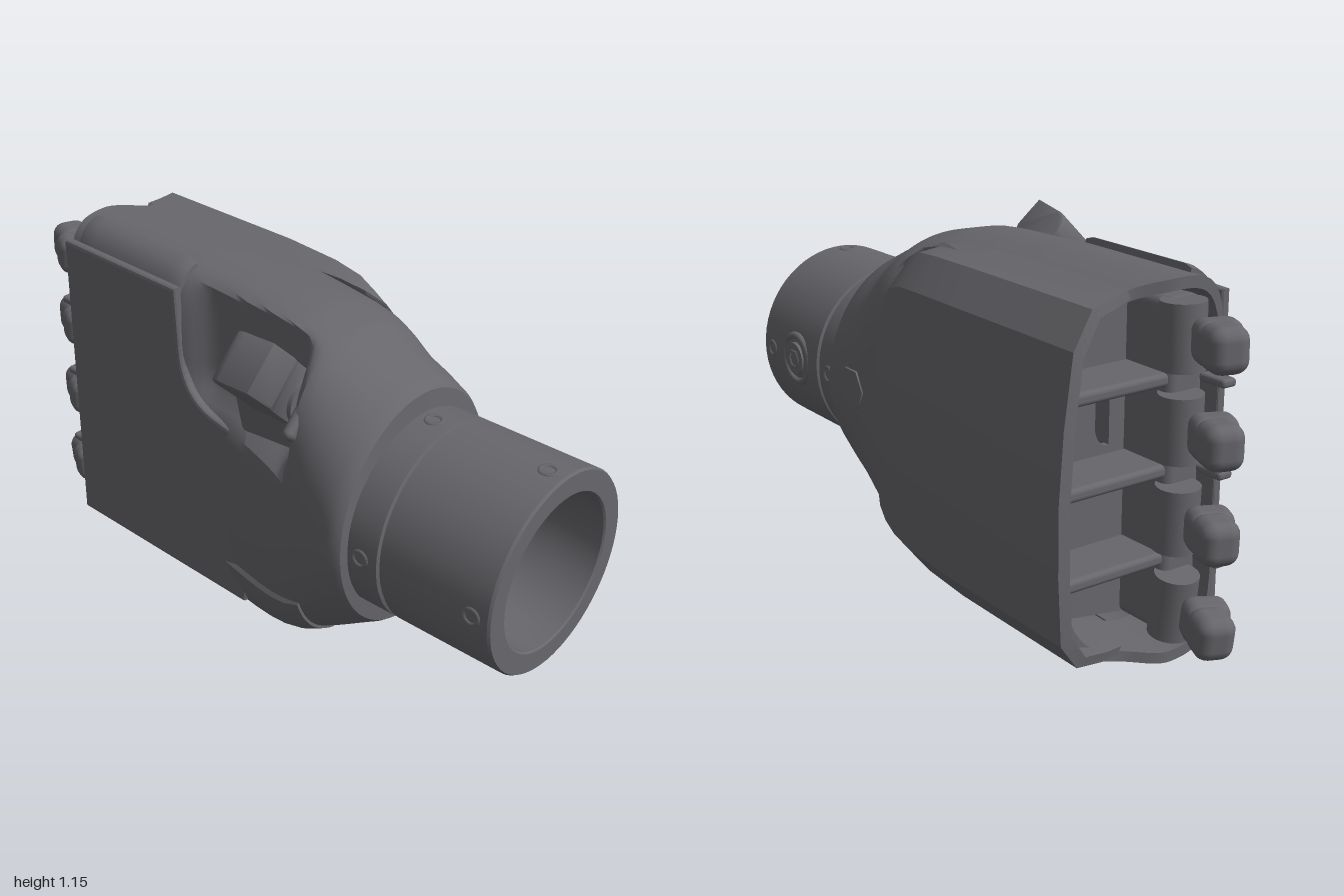
import * as THREE from 'three';
import { toCreasedNormals } from 'three/addons/utils/BufferGeometryUtils.js';
import { RoundedBoxGeometry } from 'three/addons/geometries/RoundedBoxGeometry.js';

const CY = 0.575;
const step = THREE.MathUtils.smoothstep;
const lerp = THREE.MathUtils.lerp;

// Skin a list of equal-length cross-sections that run from +z to -z
function loft(rings, crease = 0.6) {
  const pos = [], idx = [], n = rings[0].length;
  rings.forEach(r => r.forEach(p => pos.push(...p)));
  for (let i = 0; i < rings.length - 1; i++) {
    for (let j = 0; j < n - 1; j++) {
      const a = i * n + j, b = a + 1, c = a + n, d = c + 1;
      idx.push(a, c, b, b, c, d);
    }
  }
  const g = new THREE.BufferGeometry();
  g.setAttribute('position', new THREE.Float32BufferAttribute(pos, 3));
  g.setIndex(idx);
  return toCreasedNormals(g, crease);
}

// Hand stations: z, xMin, xMax, yMin, yMax, squareness
const stations = [
  [0.515, -0.32, 0.3, 0.27, 0.89, 2], [0.51, -0.345, 0.32, 0.21, 0.955, 2],
  [0.495, -0.355, 0.33, 0.198, 0.97, 2], [0.46, -0.357, 0.332, 0.18, 0.985, 2.1],
  [0.36, -0.338, 0.335, 0.12, 1.035, 2.5], [0.28, -0.315, 0.335, 0.08, 1.075, 3],
  [0.15, -0.272, 0.34, 0.045, 1.105, 4], [0.05, -0.243, 0.345, 0.035, 1.115, 4.5],
  [-0.1, -0.206, 0.355, 0.028, 1.125, 5], [-0.3, -0.195, 0.36, 0.02, 1.133, 5.5],
  [-0.79, -0.165, 0.36, 0.02, 1.137, 6],
];

// Hand section at a given z, interpolated between the stations
function sectionAt(z) {
  const i = Math.max(1, stations.findIndex(s => s[0] <= z));
  const a = stations[i - 1], b = stations[i];
  return a.map((v, q) => lerp(v, b[q], (a[0] - z) / (a[0] - b[0])));
}

// Points of a section between two angles; grow pushes them off the surface
function handRing([z, x0, x1, y0, y1, n], { grow = 1, zOut = z, from = 0, to = 360, count = 112 } = {}) {
  const cx = (x0 + x1) / 2, cy = (y0 + y1) / 2, ring = [];
  for (let i = 0; i <= count; i++) {
    const a = THREE.MathUtils.degToRad(lerp(from, to, i / count)), c = Math.cos(a), s = Math.sin(a);
    const e = c > 0 ? Math.min(n, 3.5) : n;
    const r = grow / Math.pow(Math.abs(c) ** e + Math.abs(s) ** e, 1 / e);
    let x = cx + c * r * (x1 - x0) / 2, y = cy + s * r * (y1 - y0) / 2;
    y = cy + (y - cy) * (1 - 0.09 * step(n, 2, 2.6) * step(x, -0.02, 0.3));
    // thumb recess on the palm side
    const w = step(y, 0.68, 0.8) * step(z, -0.28, -0.16) * (1 - step(z, 0.19, 0.28));
    x = lerp(x, Math.max(x, -0.13), w);
    // the open back edge is set in under the cover
    ring.push([x, y, zOut + 0.05 * step(-z, 0.68, 0.79) * step(x, 0, 0.15)]);
  }
  return ring;
}

// Thin raised strip that follows the hand between two angles
function handStrip(z0, z1, from, to, lift) {
  const rings = [], steps = 16;
  for (let i = 0; i <= steps; i++) {
    const s = sectionAt(lerp(z0, z1, i / steps));
    const ring = grow => handRing(s, { grow, from, to, count: 10 });
    const low = ring(0.99), high = ring(i === 0 || i === steps ? 1 + lift * 0.6 : 1 + lift);
    const full = [low[0], ...high, low[10]];
    if (i === 0) rings.push([low[0], ...low, low[10]]);
    rings.push(full);
    if (i === steps) rings.push([low[0], ...low, low[10]]);
  }
  return loft(rings, 0.5);
}

export function createModel() {
  const root = new THREE.Group();
  const grey = new THREE.MeshStandardMaterial({ color: 0x67666b, side: THREE.DoubleSide });
  grey.name = 'dark grey';
  const add = (name, geo, p = [0, 0, 0], r = [0, 0, 0], parent = root) => {
    const m = new THREE.Mesh(geo, grey);
    m.name = name;
    m.position.set(...p);
    m.rotation.set(...r);
    parent.add(m);
  };
  const block = (name, size, p, r, radius = 0.015, parent = root) =>
    add(name, new RoundedBoxGeometry(...size, 3, radius), p, r, parent);

  // Hand shell, turned in at the open back
  const rings = stations.slice(0, 3).map(s => handRing(s));
  for (let i = 1; i <= 48; i++) rings.push(handRing(sectionAt(lerp(0.495, -0.79, i / 48))));
  const last = stations[stations.length - 1];
  rings.push(handRing(last, { grow: 0.94 }), handRing(last, { grow: 0.91, zOut: -0.58 }));
  add('handShell', loft(rings));

  // Back-of-hand cover with bevelled edges
  const coverProfile = [[0.15, 0.07], [0.22, 0.08], [0.335, 0.11], [0.405, 0.2], [0.42, 0.4],
    [0.422, 0.6], [0.405, 0.8], [0.37, 1.0], [0.295, 1.095], [0.22, 1.104], [0.15, 1.116]];
  const coverRing = ([z, ys, dx, inner, grow = 1]) => coverProfile.map(([x, y]) =>
    [Math.max(inner, x + dx) * grow, CY + (y - CY) * ys, z + (z < -0.7 ? 0.27 * (0.42 - x) : 0)]);
  add('backCover', loft([
    [0.225, 0.62, -0.11, 0.28], [0.215, 0.72, -0.08, 0.27], [0.18, 0.84, -0.06, 0.24],
    [0.13, 0.92, -0.048, 0.2], [0.06, 0.97, -0.035, 0.17], [-0.05, 0.99, -0.02, 0.15],
    [-0.25, 1, -0.008, 0.15], [-0.82, 1, 0, 0.15], [-0.82, 0.95, 0, 0.13, 0.91], [-0.7, 0.94, 0, 0.13, 0.88],
  ].map(coverRing), 0.3));

  // Palm cover, cut away around the thumb
  const palm = new THREE.Shape();
  palm.moveTo(-0.78, 0.08);
  palm.lineTo(-0.78, 1.07);
  palm.lineTo(-0.28, 1.08);
  palm.lineTo(-0.27, 0.9);
  palm.quadraticCurveTo(-0.26, 0.72, -0.1, 0.7);
  palm.lineTo(0.04, 0.68);
  palm.quadraticCurveTo(0.06, 0.4, 0, 0.1);
  palm.closePath();
  add('palmCover', new THREE.ExtrudeGeometry(palm, {
    depth: 0.015, bevelThickness: 0.008, bevelSize: 0.012, bevelSegments: 2, curveSegments: 10,
  }), [-0.195, 0, 0], [0, -Math.PI / 2 - 0.053, 0]);

  // Edge strips above and below the palm
  add('upperEdgeStrip', handStrip(-0.28, -0.75, 122, 146, 0.034));
  add('lowerEdgeStrip', handStrip(0.31, -0.74, 214, 248, 0.034));

  // Inner wall with an opening towards the wrist
  const wall = new THREE.Shape([[-0.17, 0.07], [0.33, 0.14], [0.33, 1.0], [-0.17, 1.08]]
    .map(p => new THREE.Vector2(...p)));
  const gap = new THREE.Path();
  gap.moveTo(0.05, 0.62);
  gap.lineTo(0.05, 0.77);
  gap.lineTo(0.1, 0.75);
  gap.lineTo(0.1, 0.67);
  gap.quadraticCurveTo(0.09, 0.62, 0.05, 0.62);
  wall.holes.push(gap);
  add('innerWall', new THREE.ExtrudeGeometry(wall, { depth: 0.02, bevelEnabled: false }), [0, 0, -0.57]);

  // Wrist: outer tube, seam groove, end ring and tapering bore
  const wristProfile = [[0.17, 0.45], [0.175, 0.5], [0.235, 0.85], [0.238, 0.995], [0.243, 1], [0.305, 1],
    [0.31, 0.992], [0.31, 0.636], [0.3, 0.632], [0.3, 0.622], [0.31, 0.618], [0.31, 0.49]];
  add('wrist', toCreasedNormals(new THREE.LatheGeometry(
    wristProfile.map(p => new THREE.Vector2(...p)), 64), 0.5), [-0.01, 0.585, 0], [Math.PI / 2, 0, 0]);

  // Wrist sockets on four sides
  for (let i = 0; i < 4; i++) {
    const g = new THREE.Group();
    g.name = 'wristSockets';
    g.position.set(-0.01, 0.585, 0);
    g.rotation.z = i * Math.PI / 2;
    root.add(g);
    for (const z of [0.56, 0.94]) {
      add('smallSocket', new THREE.TorusGeometry(0.024, 0.007, 6, 16), [0.307, 0, z], [0, Math.PI / 2, 0], g);
    }
  }

  // Large wrist screw and hand bolt on the back-of-hand side
  add('screwRim', new THREE.TorusGeometry(0.08, 0.012, 8, 28), [0.29, 0.585, 0.78], [0, Math.PI / 2, 0]);
  add('screwHead', new THREE.CylinderGeometry(0.055, 0.06, 0.03, 24), [0.29, 0.585, 0.78], [0, 0, -Math.PI / 2]);
  add('screwSocket', new THREE.TorusGeometry(0.03, 0.006, 4, 6), [0.304, 0.585, 0.78], [0, Math.PI / 2, 0]);
  add('handBolt', new THREE.CylinderGeometry(0.07, 0.075, 0.03, 6), [0.325, 0.6, 0.35], [0, 0, -Math.PI / 2]);

  // Thumb base: tilted stub with a waist, hinge and bracket
  const thumb = new THREE.Group();
  thumb.name = 'thumbBase';
  thumb.position.set(-0.265, 0.98, 0.155);
  thumb.rotation.z = Math.PI / 4;
  root.add(thumb);
  const stubSide = new THREE.Shape();
  stubSide.moveTo(-0.08, 0.145);
  stubSide.lineTo(0.03, 0.125);
  stubSide.quadraticCurveTo(0.085, 0.12, 0.09, 0.05);
  stubSide.quadraticCurveTo(0.065, -0.01, 0.085, -0.12);
  stubSide.lineTo(-0.085, -0.12);
  stubSide.quadraticCurveTo(-0.065, -0.01, -0.095, 0.05);
  stubSide.closePath();
  add('thumbStub', toCreasedNormals(new THREE.ExtrudeGeometry(stubSide, {
    depth: 0.142, bevelSize: 0.008, bevelThickness: 0.008, bevelSegments: 2, curveSegments: 10,
  }), 0.6), [-0.071, 0, 0], [0, Math.PI / 2, 0], thumb);
  add('thumbHinge', new THREE.CylinderGeometry(0.075, 0.075, 0.2, 24), [0, -0.1, 0], [Math.PI / 2, 0, 0], thumb);
  block('thumbBracket', [0.25, 0.15, 0.04], [0, -0.11, 0.125], [0, 0, 0], 0.02, thumb);
  block('thumbRest', [0.12, 0.26, 0.3], [-0.165, 0.83, 0.13], [0, 0, 0.2], 0.04);

  // Knuckle carrier and finger stubs
  block('knuckleCarrier', [0.13, 0.98, 0.22], [-0.07, CY, -0.64], [0, 0, 0], 0.03);
  [0.18, 0.445, 0.71, 0.97].forEach((y, i) => {
    const g = new THREE.Group();
    g.name = 'knuckle';
    g.position.set(-0.05, y, -0.79);
    g.rotation.x = [-0.12, -0.03, 0, 0.03][i];
    root.add(g);
    add('knuckleHinge', new THREE.CylinderGeometry(0.065, 0.065, 0.19, 20), [0.01, 0, 0.03], [0, 0, 0], g);
    block('fingerStub', [0.115, 0.13, 0.12], [0.028, 0, -0.145], [0, -0.35, 0], 0.04, g);
    block('fingerHeel', [0.13, 0.125, 0.1], [-0.005, 0, -0.085], [0, -0.45, 0], 0.035, g);
  });

  // Dividers between the finger cells, with clips at the palm edge
  [0.315, 0.577, 0.84].forEach(y => {
    block('cellDivider', [0.38, 0.04, 0.18], [0.17, y, -0.65], [0, 0, 0], 0.015);
    block('palmClip', [0.05, 0.025, 0.1], [-0.125, y, -0.81], [0, 0, 0], 0.01);
  });
  return root;
}
